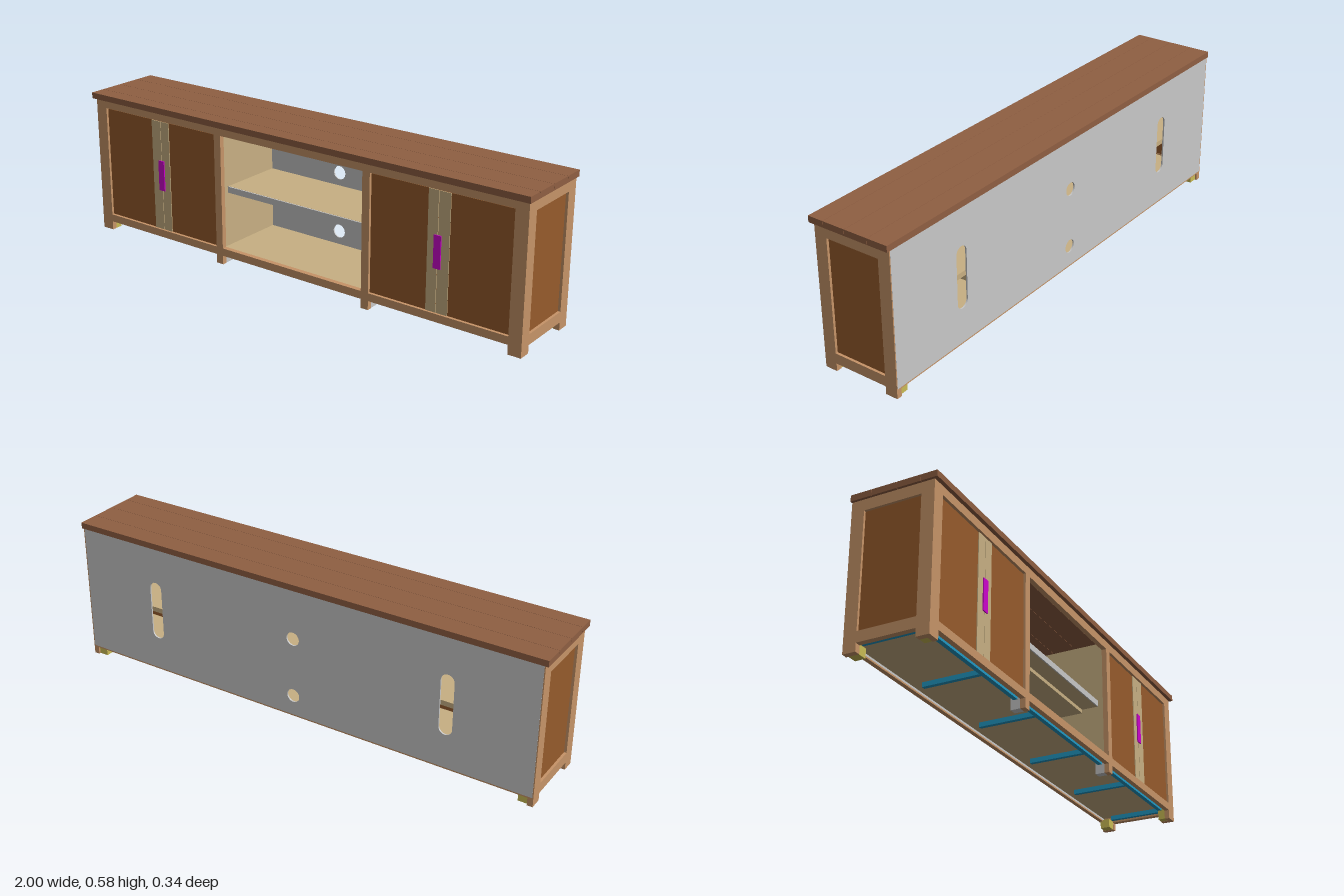
import * as THREE from 'three';

export function createModel() {
  const model = new THREE.Group();
  model.name = 'mediaConsole';

  const mat = (name, color) => {
    const m = new THREE.MeshStandardMaterial({ color });
    m.name = name;
    return m;
  };
  const topWood = mat('topWood', 0x8f5f42);
  const frameWood = mat('frameWood', 0xc69468);
  const panelWood = mat('panelWood', 0x965b2c);
  const tan = mat('tanBoard', 0xc8b083);
  const grey = mat('greyBoard', 0xc8c8c8);
  const magenta = mat('handleMagenta', 0xcc00cc);
  const blue = mat('railBlue', 0x2299c4);
  const yellow = mat('blockYellow', 0xcabb55);

  // Box given by its minimum and maximum on each axis
  const box = (name, m, x0, x1, y0, y1, z0, z1) => {
    const mesh = new THREE.Mesh(new THREE.BoxGeometry(x1 - x0, y1 - y0, z1 - z0), m);
    mesh.position.set((x0 + x1) / 2, (y0 + y1) / 2, (z0 + z1) / 2);
    mesh.name = name;
    model.add(mesh);
    return mesh;
  };
  // The same box on both sides of x = 0
  const pair = (name, m, x0, x1, ...rest) => {
    box(name + 'Left', m, x0, x1, ...rest);
    box(name + 'Right', m, -x1, -x0, ...rest);
  };

  // Top made of four boards with hairline seams
  const seams = [-0.168, -0.085, 0.012, 0.105, 0.168];
  for (let i = 0; i < 4; i++) {
    box('topBoard' + (i + 1), topWood, -1, 1, 0.56, 0.584,
      seams[i] + (i ? 0.0005 : 0), seams[i + 1] - (i < 3 ? 0.0005 : 0));
  }

  // Face frame
  pair('frontCornerStile', frameWood, 0.938, 0.99, 0, 0.56, 0.133, 0.153);
  pair('frontMiddleStile', frameWood, 0.33, 0.362, 0, 0.526, 0.133, 0.153);
  box('frontTopRail', frameWood, -0.938, 0.938, 0.526, 0.56, 0.133, 0.153);
  box('frontBottomRailMiddle', frameWood, -0.33, 0.33, 0.036, 0.067, 0.133, 0.153);
  pair('frontBottomRail', frameWood, 0.362, 0.938, 0.036, 0.067, 0.133, 0.153);

  // Framed side walls with recessed panels
  pair('sideFrontStile', frameWood, 0.968, 0.99, 0, 0.56, 0.103, 0.133);
  pair('sideBackStile', frameWood, 0.968, 0.99, 0, 0.56, -0.1675, -0.118);
  pair('sideTopRail', frameWood, 0.968, 0.99, 0.517, 0.56, -0.118, 0.103);
  pair('sideBottomRail', frameWood, 0.968, 0.99, 0.031, 0.072, -0.118, 0.103);
  pair('sidePanel', panelWood, 0.97, 0.98, 0.072, 0.517, -0.118, 0.103);

  // Back board with cable holes and long slots
  const back = new THREE.Shape();
  back.moveTo(-0.986, 0.037).lineTo(0.986, 0.037).lineTo(0.986, 0.56).lineTo(-0.986, 0.56).closePath();
  const slotHole = (x, y, r, half) => {
    const p = new THREE.Path();
    p.absarc(x, y + half, r, 0, Math.PI, false);
    p.absarc(x, y - half, r, Math.PI, Math.PI * 2, false);
    p.closePath();
    back.holes.push(p);
  };
  slotHole(0, 0.12, 0.027, 0);
  slotHole(0, 0.362, 0.027, 0);
  for (const s of [-1, 1]) slotHole(s * 0.64, 0.295, 0.027, 0.095);
  const backBoard = new THREE.Mesh(
    new THREE.ExtrudeGeometry(back, { depth: 0.006, bevelEnabled: false, curveSegments: 16 }), grey);
  backBoard.position.z = -0.168;
  backBoard.name = 'backBoard';
  model.add(backBoard);
  box('backBottomRail', frameWood, -0.968, 0.968, 0.031, 0.037, -0.167, -0.15);

  // Inside boards
  box('bottomBoard', tan, -0.968, 0.968, 0.055, 0.066, -0.162, 0.133);
  pair('partition', tan, 0.335, 0.357, 0.066, 0.559, -0.162, 0.133);
  box('middleShelf', tan, -0.335, 0.335, 0.285, 0.31, -0.162, 0.105);
  box('middleShelfEdge', grey, -0.335, 0.335, 0.285, 0.3095, 0.105, 0.11);
  box('middleShelfCleat', tan, -0.335, 0.335, 0.27, 0.285, -0.162, 0.04);
  pair('cabinetShelf', tan, 0.357, 0.97, 0.27, 0.29, -0.14, 0.1);

  // Double doors with pale meeting stiles and handles
  pair('innerDoor', panelWood, 0.364, 0.644, 0.069, 0.522, 0.13, 0.145);
  pair('outerDoor', panelWood, 0.646, 0.936, 0.069, 0.522, 0.13, 0.145);
  pair('innerDoorStile', tan, 0.603, 0.644, 0.069, 0.522, 0.145, 0.148);
  pair('outerDoorStile', tan, 0.646, 0.692, 0.069, 0.522, 0.145, 0.148);
  pair('handle', magenta, 0.631, 0.66, 0.236, 0.36, 0.146, 0.1525);

  // Support rails under the bottom board
  box('underRailFront', blue, -0.93, 0.93, 0.037, 0.055, 0.105, 0.122);
  for (const x of [0.2, 0.59, 0.955]) {
    pair('underRailCross', blue, x - 0.008, x + 0.008, 0.037, 0.055, -0.118, 0.105);
  }

  // Blocks behind the feet
  pair('frontCornerBlock', yellow, 0.938, 0.968, 0.001, 0.055, 0.104, 0.133);
  pair('backCornerBlock', yellow, 0.93, 0.968, 0.001, 0.037, -0.16, -0.12);
  pair('middleFootBlock', grey, 0.331, 0.361, 0.001, 0.055, 0.095, 0.133);

  return model;
}
